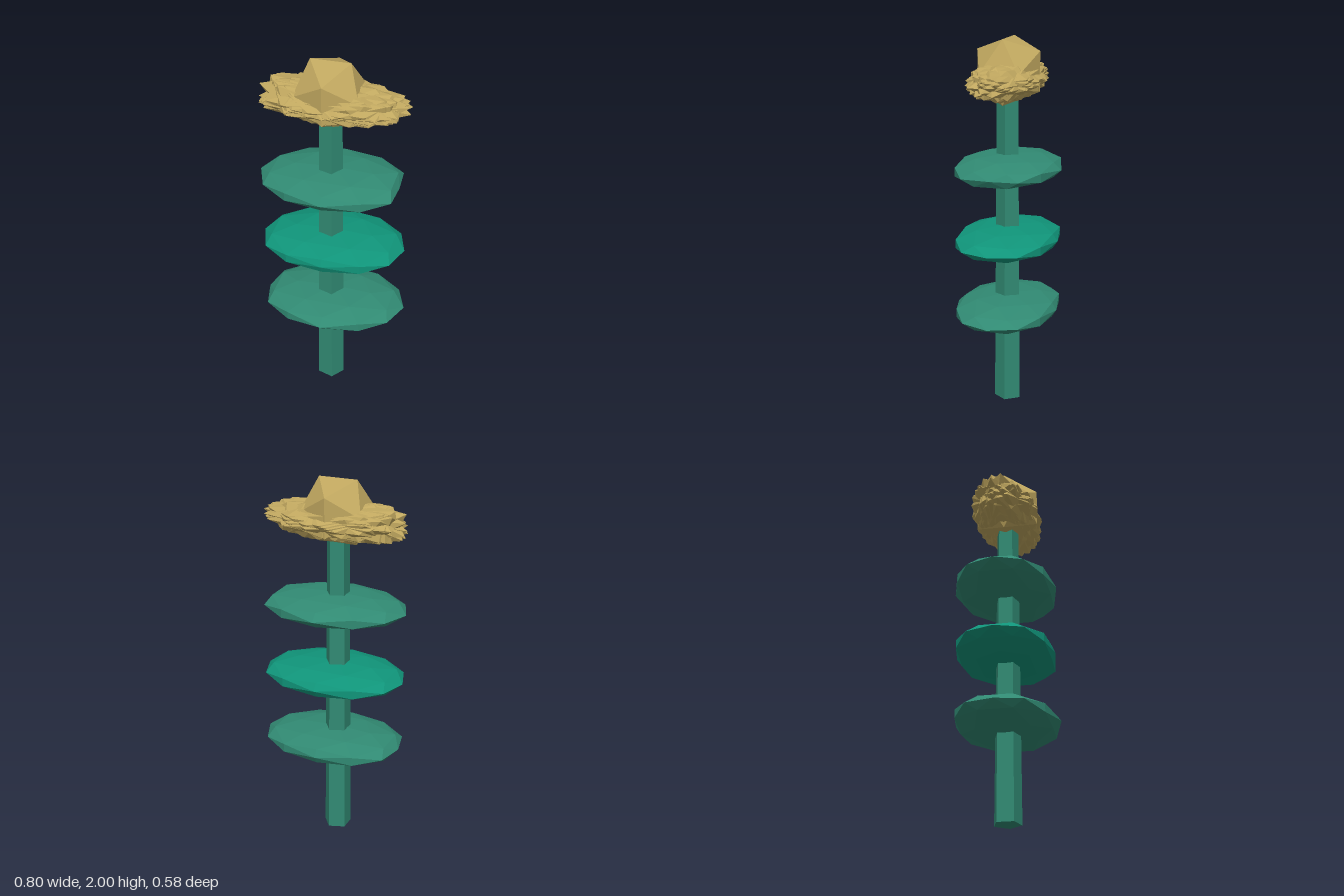
import * as THREE from 'three';

const paint = (color) => new THREE.MeshStandardMaterial({ color, flatShading: true });
const green = paint(0x318a73);
const brightGreen = paint(0x10957a);
const gold = paint(0xc0a75f);

// Apply a rule to every vertex of a geometry
function reshape(geometry, rule) {
  const pos = geometry.attributes.position;
  const v = new THREE.Vector3();
  for (let i = 0; i < pos.count; i++) {
    rule(v.fromBufferAttribute(pos, i));
    pos.setXYZ(i, v.x, v.y, v.z);
  }
  geometry.computeVertexNormals();
  return geometry;
}

function part(name, geometry, material, x = 0, y = 0, z = 0) {
  const mesh = new THREE.Mesh(geometry, material);
  mesh.name = name;
  mesh.position.set(x, y, z);
  return mesh;
}

// Flattened faceted leaf, trimmed slightly at its ends so each one differs
function leafDisc(minX, maxX, minZ, maxZ) {
  return reshape(new THREE.IcosahedronGeometry(1, 1), (v) => {
    v.x = THREE.MathUtils.clamp(v.x * 0.4, minX, maxX);
    v.y *= 0.075;
    v.z = THREE.MathUtils.clamp(v.z * 0.288, minZ, maxZ);
  });
}

export function createModel() {
  const model = new THREE.Group();
  model.name = 'flower';

  // Five-sided tapering stem
  const stem = part('stem', new THREE.CylinderGeometry(0.061, 0.076, 1.8, 5), green, -0.015, 0.9, 0.006);
  stem.rotation.y = Math.PI / 2;
  model.add(stem);

  // Three tiers of leaves
  model.add(
    part('lowerLeaf', leafDisc(-0.375, 0.4, -0.27, 0.288), green, 0, 0.54, 0),
    part('middleLeaf', leafDisc(-0.39, 0.39, -0.272, 0.262), brightGreen, 0, 0.93, 0),
    part('upperLeaf', leafDisc(-0.4, 0.35, -0.288, 0.275), green, 0, 1.32, 0)
  );

  // Spiky blossom: overlapping turned icosahedra, stretched along x, blunt at one end
  const petals = new THREE.Group();
  petals.name = 'petals';
  for (let i = 0; i < 14; i++) {
    const turn = new THREE.Euler(i * 0.53, i * 1.13, i * 0.79);
    const petal = reshape(new THREE.IcosahedronGeometry(1, 0), (v) => {
      v.applyEuler(turn);
      const blunt = v.x < 0 ? 1 + 0.9 * v.x ** 4 : 1;
      v.set(Math.max(v.x * 0.405, -0.39), v.y * 0.107 * blunt, v.z * 0.193);
    });
    petals.add(part('petal', petal, gold, 0, 1.785, 0.003));
  }
  model.add(petals);

  // Flower centre
  model.add(part('flowerCentre', new THREE.IcosahedronGeometry(0.2, 0), gold, -0.015, 1.83, 0.006));

  return model;
}
